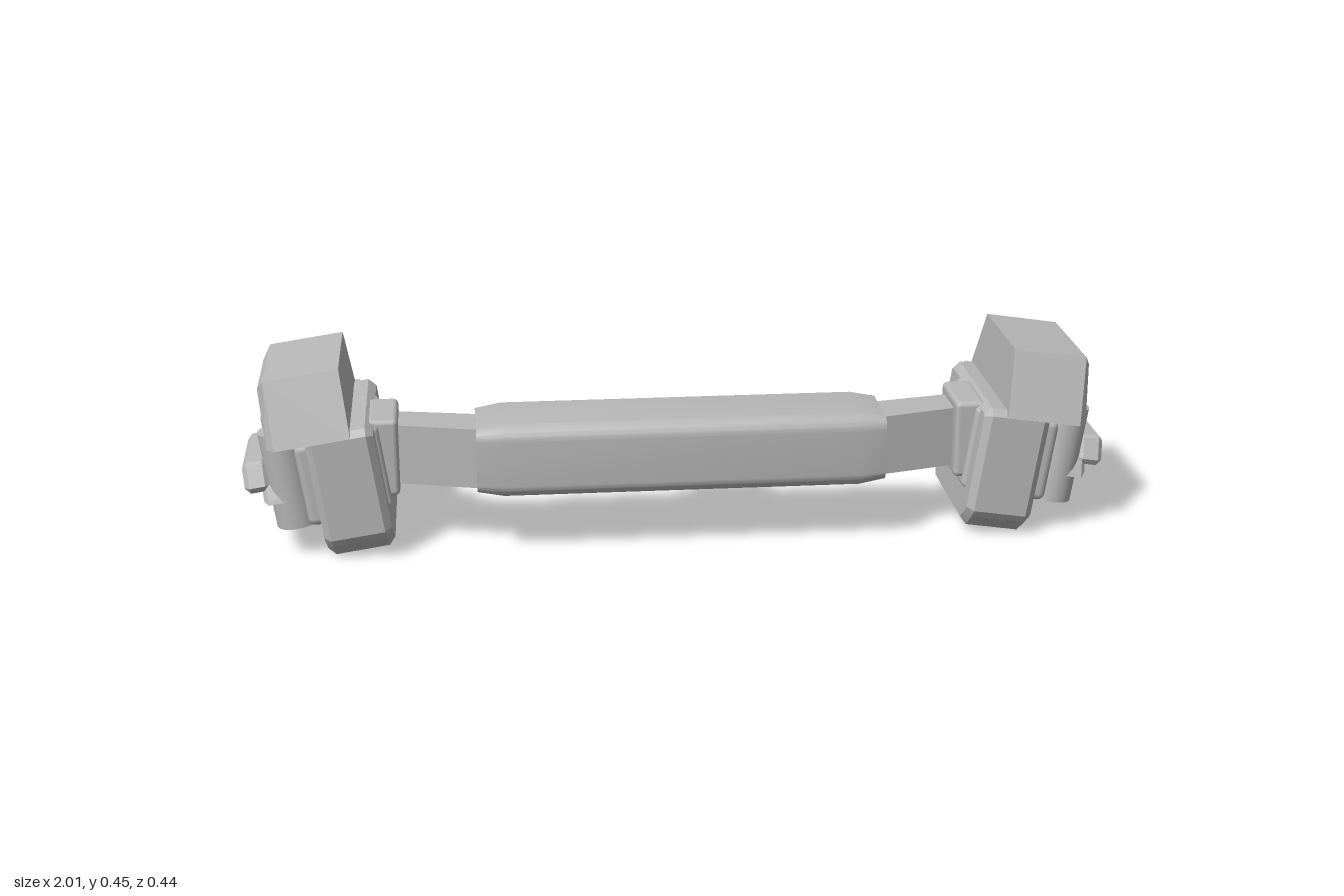
import * as THREE from 'three';
import { toCreasedNormals } from 'three/addons/utils/BufferGeometryUtils.js';
import { RoundedBoxGeometry } from 'three/addons/geometries/RoundedBoxGeometry.js';
import { ConvexGeometry } from 'three/addons/geometries/ConvexGeometry.js';

const grey = new THREE.MeshStandardMaterial({ color: 0xb8b8b8 });
grey.name = 'grey';

function add(parent, name, geometry, x = 0, y = 0, z = 0) {
  const mesh = new THREE.Mesh(geometry, grey);
  mesh.name = name;
  mesh.position.set(x, y, z);
  parent.add(mesh);
  return mesh;
}

// Box with softly rounded edges
const soft = (w, h, d, r) => new RoundedBoxGeometry(w, h, d, 2, r);

// Extrude a (z, y) outline along x, centred, with bevelled ends kept inside the outline
function extrudeX(shape, length, size, thick = size) {
  const g = new THREE.ExtrudeGeometry(shape, {
    depth: length - 2 * thick, bevelEnabled: true, bevelSize: size, bevelOffset: -size,
    bevelThickness: thick, bevelSegments: 1, curveSegments: 8,
  });
  g.translate(0, 0, thick - length / 2);
  g.rotateY(Math.PI / 2);
  return toCreasedNormals(g, 0.21);
}

const outline = (points) => new THREE.Shape(points.map(([z, y]) => new THREE.Vector2(-z, y)));

// Rounded waist section: large radii in front, small ones behind
function waistShape() {
  const s = new THREE.Shape(), f = -0.221, b = -0.02, lo = 0.15, hi = 0.323, R = 0.035, r = 0.018;
  s.moveTo(f + R, lo);
  s.lineTo(b - r, lo);
  s.absarc(b - r, lo + r, r, -Math.PI / 2, 0);
  s.absarc(b - r, hi - r, r, 0, Math.PI / 2);
  s.absarc(f + R, hi - R, R, Math.PI / 2, Math.PI);
  s.absarc(f + R, lo + R, R, Math.PI, Math.PI * 1.5);
  return s;
}

// Tapered lid with a chamfer round its outer face
function lidGeometry(s) {
  const rings = [
    [-0.034, 0.214, -0.195, 0.155, -0.134, 0.252],
    [0.138, 0.214, -0.195, 0.155, -0.134, 0.252],
    [0.157, 0.19, -0.171, 0.123, -0.102, 0.228],
  ];
  const points = rings.flatMap(([u, zf, zb, tf, tb, top]) => [
    new THREE.Vector3(s * u, 0.103, zf), new THREE.Vector3(s * u, 0.103, zb),
    new THREE.Vector3(s * u, top, tf), new THREE.Vector3(s * u, top, tb),
  ]);
  return new ConvexGeometry(points);
}

// Tilted side pouch; s = 1 for the left, -1 for the right
function pouch(s) {
  const g = new THREE.Group();
  g.name = s > 0 ? 'leftPouch' : 'rightPouch';
  g.position.set(s * 0.77, 0.2, 0);
  g.rotation.z = -s * 0.15;

  const body = outline([
    [0.19, 0.115], [0.206, 0.1], [0.206, -0.135], [0.195, -0.152], [0.158, -0.186],
    [-0.138, -0.186], [-0.175, -0.152], [-0.186, -0.135], [-0.186, 0.1], [-0.17, 0.115],
  ]);
  add(g, 'pouchBody', extrudeX(body, 0.156, 0.016), -s * 0.006);
  add(g, 'pouchLid', lidGeometry(s));
  add(g, 'outerPanel', soft(0.05, 0.2, 0.355, 0.018), s * 0.075, 0, 0.012);

  // Row of canisters with their retaining strap
  for (const z of [0.119, 0.011, -0.098]) {
    add(g, 'canister', new THREE.CylinderGeometry(0.049, 0.049, 0.23, 28), s * 0.13, 0.01, z);
  }
  const holder = outline([[0.165, -0.038], [0.16, -0.025], [0.105, 0.06],
    [-0.08, 0.06], [-0.142, -0.025], [-0.147, -0.038]]);
  add(g, 'strapHolder', extrudeX(holder, 0.085, 0.01), s * 0.15);
  const strap = outline([[0.15, -0.006], [0.142, -0.01], [0.15, 0.004], [0.125, 0.05],
    [0.115, 0.056], [-0.09, 0.056], [-0.1, 0.05], [-0.13, 0.004], [-0.122, -0.01]].slice(2).concat([[0.142, -0.01]]));
  add(g, 'retainingStrap', extrudeX(strap, 0.06, 0.012), s * 0.201);

  // Stepped clip on the back
  add(g, 'clipPlate', new THREE.BoxGeometry(0.085, 0.075, 0.025), s * 0.01, 0.064, -0.192);
  add(g, 'clipStep', new THREE.BoxGeometry(0.095, 0.03, 0.035), s * 0.01, 0.08, -0.192);
  add(g, 'clipLedge', new THREE.BoxGeometry(0.105, 0.015, 0.047), s * 0.01, 0.096, -0.1985);
  return g;
}

export function createModel() {
  const model = new THREE.Group();
  model.name = 'utilityBelt';
  add(model, 'waistPad', extrudeX(waistShape(), 0.94, 0.011, 0.06));

  // Buckle at the back
  const buckle = new THREE.Group();
  buckle.name = 'buckle';
  buckle.position.set(0, 0.237, 0);
  add(buckle, 'bucklePlate', soft(0.215, 0.12, 0.05, 0.012), 0, 0, 0.008);
  add(buckle, 'buckleBlock', soft(0.16, 0.075, 0.04, 0.006), 0, 0, -0.022);
  for (const y of [-0.036, 0.036]) {
    add(buckle, 'buckleRail', new THREE.BoxGeometry(0.165, 0.014, 0.05), 0, y, -0.038);
  }
  model.add(buckle);

  for (const s of [1, -1]) {
    // Angled strap from pad to pouch
    const plan = new THREE.Shape([[0.44, 0.045], [0.68, -0.005], [0.68, 0.095], [0.44, 0.16]]
      .map(([x, z]) => new THREE.Vector2(s * x, -z)));
    const arm = new THREE.ExtrudeGeometry(plan, { depth: 0.142, bevelEnabled: false });
    arm.rotateX(-Math.PI / 2);
    add(model, 'sideStrap', arm, 0, 0.156, 0);

    // Mount joining strap and pouch
    add(model, 'mountBlock', soft(0.07, 0.185, 0.17, 0.012), s * 0.682, 0.228, 0.05);
    const plate = add(model, 'mountPlate', soft(0.04, 0.2, 0.24, 0.012), s * 0.698, 0.21, 0.03);
    plate.rotation.z = -s * 0.15;

    // Flat clip on the back of the pad
    add(model, 'backClipPlate', soft(0.14, 0.065, 0.03, 0.006), s * 0.298, 0.237, 0.02);
    add(model, 'backClipBar', soft(0.205, 0.028, 0.03, 0.006), s * 0.298, 0.23, 0.015);
    model.add(pouch(s));
  }
  return model;
}
